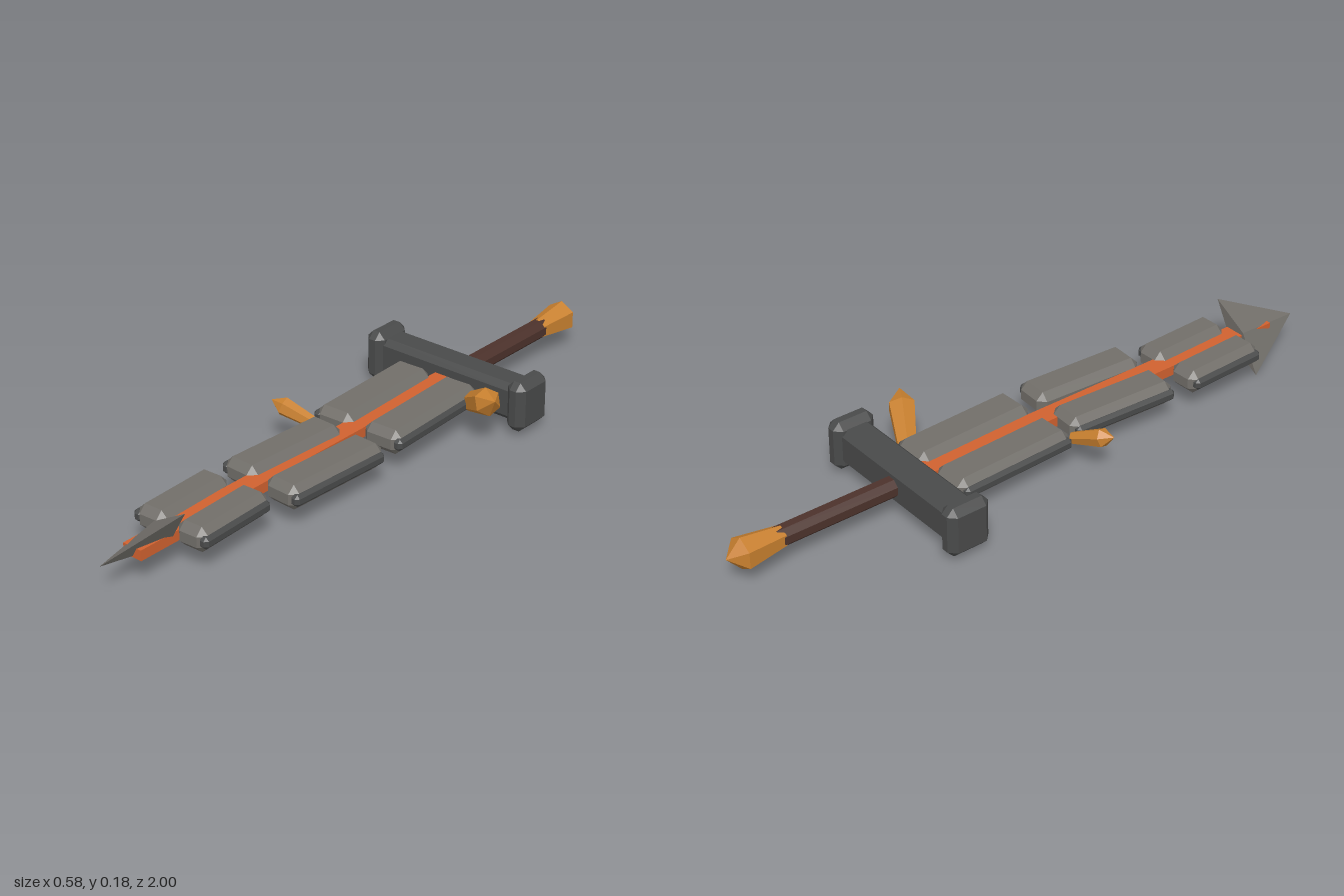
import * as THREE from 'three';
import { ConvexGeometry } from 'three/addons/geometries/ConvexGeometry.js';

const material = (name, color) => {
  const m = new THREE.MeshStandardMaterial({ color });
  m.name = name;
  return m;
};

const MID = 0.093; // height of the sword's axis

// Box with every edge cut off by c
function chamferBox(w, h, d, c) {
  const pts = [];
  for (const sx of [-1, 1]) for (const sy of [-1, 1]) for (const sz of [-1, 1]) {
    for (let axis = 0; axis < 3; axis++) {
      const p = [w / 2, h / 2, d / 2].map((v, i) => (i === axis ? v : v - c));
      pts.push(new THREE.Vector3(p[0] * sx, p[1] * sy, p[2] * sz));
    }
  }
  return new ConvexGeometry(pts);
}

// Separate faces with flat normals
function flat(geometry) {
  const g = geometry.toNonIndexed();
  g.computeVertexNormals();
  return g;
}

function addMesh(parent, name, geometry, mat, x = 0, y = 0, z = 0) {
  const mesh = new THREE.Mesh(geometry, mat);
  mesh.name = name;
  mesh.position.set(x, y, z);
  parent.add(mesh);
  return mesh;
}

// Six-sided crystal widening from its base, then closing to a point
function addCrystal(parent, name, mat, from, to, r0, r1) {
  const a = new THREE.Vector3(...from);
  const dir = new THREE.Vector3(...to).sub(a);
  const len = dir.length();
  const profile = [[0, 0], [r0, 0], [r1, len * 0.73], [0, len]].map(p => new THREE.Vector2(...p));
  const mesh = addMesh(parent, name, flat(new THREE.LatheGeometry(profile, 6)), mat, ...from);
  mesh.quaternion.setFromUnitVectors(new THREE.Vector3(0, 1, 0), dir.normalize());
  return mesh;
}

export function createModel() {
  const stone = material('stone grey', 0x716e69);
  const iron = material('dark iron', 0x494a4a);
  const ember = material('ember orange', 0xd0612f);
  const wood = material('dark wood', 0x4c322b);
  const amber = material('amber', 0xc8802f);

  const sword = new THREE.Group();
  sword.name = 'sword';

  // Glowing core running through the blade
  addMesh(sword, 'core', new THREE.BoxGeometry(0.063, 0.031, 1.28), ember, -0.002, MID, 0.25);

  // Three pairs of stone plates, each pair slightly turned
  const pairs = [
    { x: 0.001, z: -0.163, length: 0.395, inner: 0.021, outer: 0.156, turn: 0.04 },
    { x: 0.017, z: 0.254, length: 0.36, inner: 0.019, outer: 0.146, turn: -0.05 },
    { x: -0.012, z: 0.62, length: 0.275, inner: 0.018, outer: 0.129, turn: 0.04 },
  ];
  pairs.forEach((p, i) => {
    const pair = new THREE.Group();
    pair.name = `bladePair${i + 1}`;
    pair.position.set(p.x, MID, p.z);
    pair.rotation.y = p.turn;
    const width = p.outer - 0.009 - p.inner;
    for (const s of [-1, 1]) {
      const side = s > 0 ? 'left' : 'right';
      addMesh(pair, `${side}Plate`, chamferBox(width, 0.075, p.length, 0.022), stone,
        s * (p.inner + width / 2));
      // Dark cutting edge along the outer side
      addMesh(pair, `${side}Edge`, chamferBox(0.032, 0.036, p.length - 0.015, 0.01), iron,
        s * (p.outer - 0.016), 0, 0.004);
    }
    sword.add(pair);
  });

  // Thin four-sided point, twisted about the blade axis
  const point = new THREE.ConeGeometry(0.127, 0.22, 4);
  point.scale(1, 1, 0.28);
  point.rotateX(Math.PI / 2);
  point.rotateZ(Math.PI / 4);
  addMesh(sword, 'point', flat(point), stone, -0.013, MID, 0.885);

  // Crossguard with end blocks
  const guard = new THREE.Group();
  guard.name = 'guard';
  guard.position.set(0, MID, -0.426);
  addMesh(guard, 'guardBar', chamferBox(0.5, 0.115, 0.1, 0.018), iron);
  for (const s of [-1, 1]) {
    addMesh(guard, s > 0 ? 'leftGuardEnd' : 'rightGuardEnd',
      chamferBox(0.064, 0.154, 0.135, 0.021), iron, s * 0.259);
  }
  sword.add(guard);

  // Grip and pommel
  const grip = new THREE.CylinderGeometry(0.031, 0.031, 0.4, 8);
  grip.rotateY(Math.PI / 8);
  grip.rotateX(Math.PI / 2);
  addMesh(sword, 'grip', flat(grip), wood, 0, MID, -0.65);
  addCrystal(sword, 'pommel', amber, [0, MID, -0.83], [0, MID, -1], 0.032, 0.05);

  // Crystals growing from the blade
  addCrystal(sword, 'largeCrystal', amber, [0.12, 0.08, -0.335], [0.286, 0.171, -0.24], 0.028, 0.041);
  addCrystal(sword, 'smallCrystal', amber, [-0.115, 0.087, 0.06], [-0.243, 0.137, 0.1], 0.018, 0.028);

  return sword;
}
